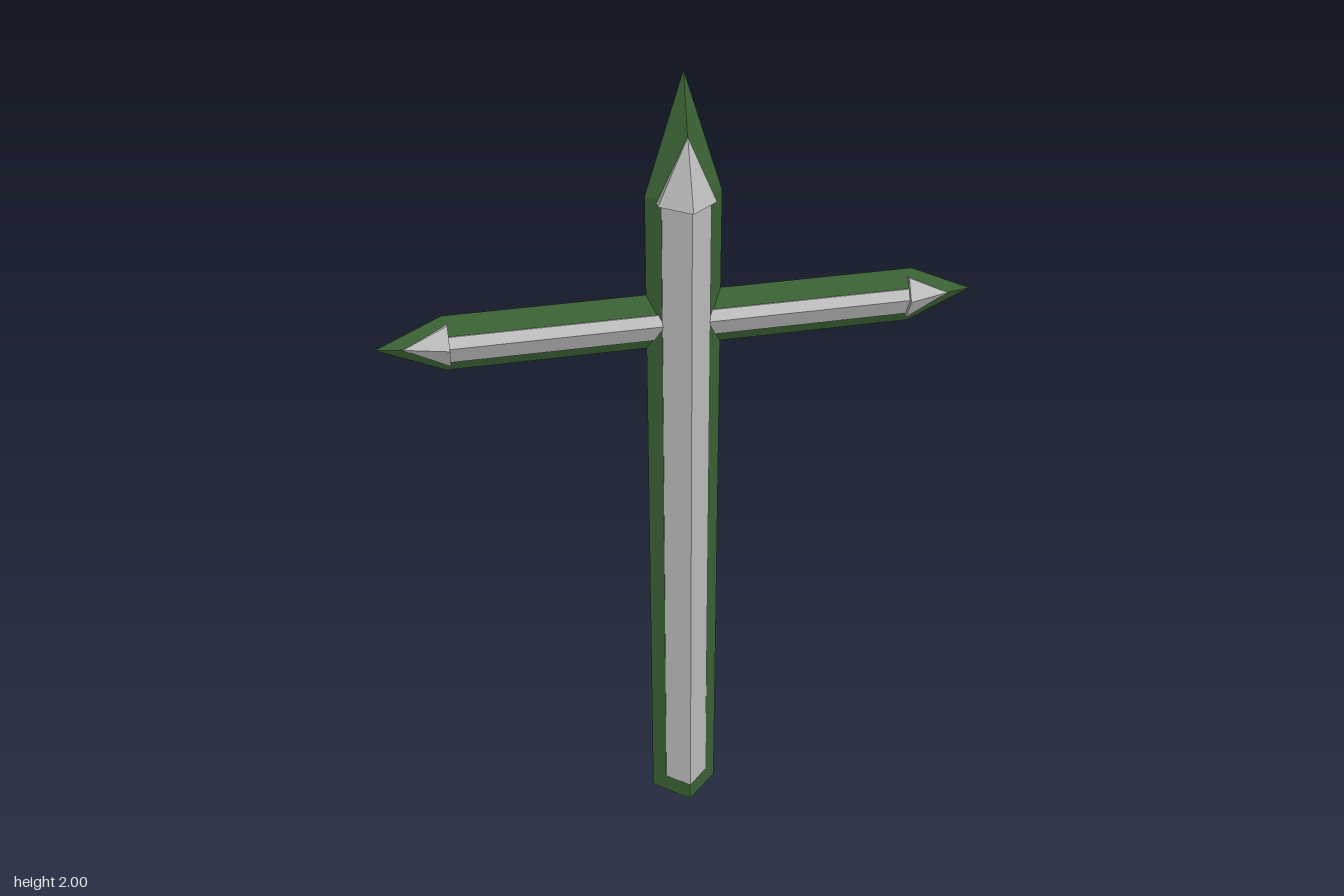
import * as THREE from 'three';

// Closed flat-faced solid between two rings of [x, z]; the top ring may be a single apex
function loft(ring, y0, topRing, y1) {
  const n = ring.length, pos = [];
  const low = i => [ring[i % n][0], y0, ring[i % n][1]];
  const high = i => {
    const p = topRing[i % topRing.length];
    return [p[0], y1, p[1]];
  };
  const tri = (a, b, c) => pos.push(...a, ...b, ...c);
  const pointed = topRing.length === 1;
  for (let i = 0; i < n; i++) {
    tri(low(i), low(i + 1), high(i + 1));
    if (!pointed) tri(low(i), high(i + 1), high(i));
  }
  for (let i = 1; i < n - 1; i++) {
    tri(low(0), low(i + 1), low(i));
    if (!pointed) tri(high(0), high(i), high(i + 1));
  }
  const g = new THREE.BufferGeometry();
  g.setAttribute('position', new THREE.Float32BufferAttribute(pos, 3));
  g.computeVertexNormals();
  return g;
}

const diamond = (w, d) => [[0, d], [w, 0], [0, -d], [-w, 0]];

// Ridged plate section on the front (side 1) or back (side -1)
function plateRing(p, side) {
  const ring = [[0, p.ridge], [p.right, p.zRight], [p.right, p.inner], [-p.left, p.inner], [-p.left, p.zLeft]]
    .map(([x, z]) => [x, z * side]);
  return side > 0 ? ring : ring.reverse();
}

// Pointed bar along +y with metal plates and barbs on both faces
function makeBar(name, o, green, grey) {
  const bar = new THREE.Group();
  bar.name = name;
  const add = (part, geometry, material) => {
    const mesh = new THREE.Mesh(geometry, material);
    mesh.name = part;
    bar.add(mesh);
  };
  const core = diamond(o.width, o.depth);
  add(name + 'Core', loft(core, 0, core, o.shoulder), green);
  add(name + 'Point', loft(core, o.shoulder, [[0, 0]], o.tip), green);
  for (const side of [1, -1]) {
    const face = side > 0 ? 'Front' : 'Back';
    const plate = plateRing(o.plate, side), barb = plateRing(o.barb, side);
    add(name + face + 'Plate', loft(plate, o.plateStart, plate, o.barbStart), grey);
    add(name + face + 'Barb', loft(barb, o.barbStart, [[0, o.barbTipZ * side]], o.barbTip), grey);
  }
  return bar;
}

export function createModel() {
  const green = new THREE.MeshStandardMaterial({ color: 0x3b6335, flatShading: true });
  green.name = 'dark green';
  const grey = new THREE.MeshStandardMaterial({ color: 0xc0c0c0, flatShading: true });
  grey.name = 'steel grey';

  const model = new THREE.Group();
  model.name = 'spikedCross';

  // Upright post
  model.add(makeBar('post', {
    width: 0.086, depth: 0.079, shoulder: 1.73, tip: 2,
    plateStart: 0.055, barbStart: 1.72, barbTip: 1.87, barbTipZ: 0.04,
    plate: { ridge: 0.084, left: 0.055, right: 0.055, zLeft: 0.031, zRight: 0.031, inner: 0.02 },
    barb: { ridge: 0.096, left: 0.065, right: 0.065, zLeft: 0.04, zRight: 0.04, inner: 0.01 },
  }, green, grey));

  // Two cross arms; the plates reach lower than they reach up
  for (const side of [1, -1]) {
    const arm = makeBar(side > 0 ? 'leftArm' : 'rightArm', {
      width: 0.067, depth: 0.03, shoulder: 0.54, tip: 0.69,
      plateStart: 0, barbStart: 0.53, barbTip: 0.63, barbTipZ: 0.013,
      plate: {
        ridge: 0.033,
        left: side > 0 ? 0.024 : 0.042, right: side > 0 ? 0.042 : 0.024,
        zLeft: side > 0 ? 0.022 : 0.014, zRight: side > 0 ? 0.014 : 0.022, inner: 0.008,
      },
      barb: { ridge: 0.043, left: 0.05, right: 0.05, zLeft: 0.018, zRight: 0.018, inner: 0.002 },
    }, green, grey);
    arm.rotation.z = -side * Math.PI / 2;
    arm.position.y = 1.43;
    model.add(arm);
  }
  return model;
}
